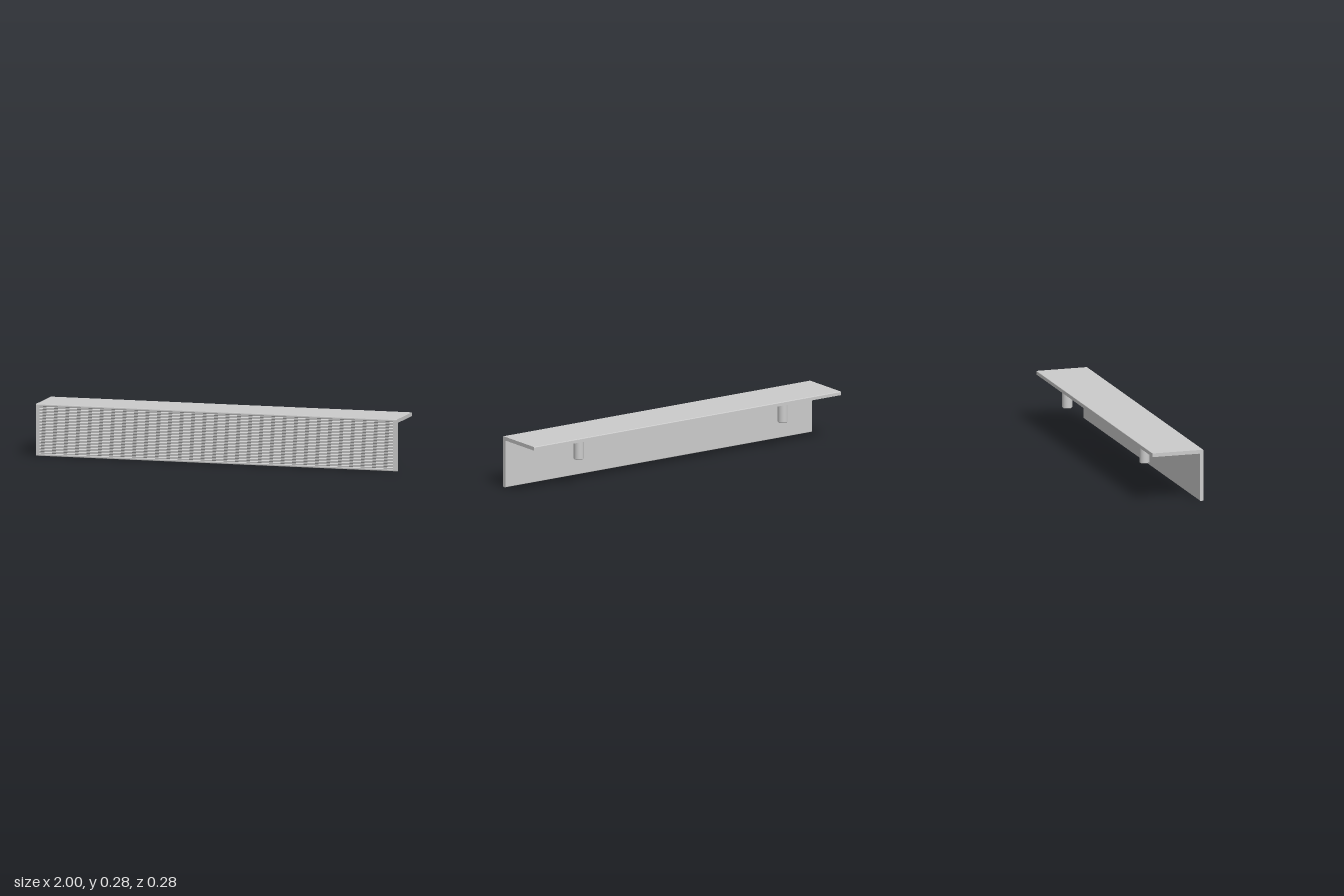
import * as THREE from 'three';

const FRONT = 0.142, BACK = -0.142, TOP = 0.278, T = 0.02, R = 0.004;
const END = 0.98;                      // grooves stop short of both ends
const GROOVES = 32, DEPTH = 0.003, GROOVE_LOW = 0.01, GROOVE_HIGH = 0.268;

// L-shaped cross-section, drawn with horizontal = -z and vertical = y
function profile(grooved) {
  const f = -FRONT, b = -BACK, s = new THREE.Shape();
  s.moveTo(f + R, 0);
  s.lineTo(f + T - R, 0);
  s.quadraticCurveTo(f + T, 0, f + T, R);
  s.lineTo(f + T, TOP - T - R);
  s.quadraticCurveTo(f + T, TOP - T, f + T + R, TOP - T);
  s.lineTo(b, TOP - T);
  s.lineTo(b, TOP - R);
  s.quadraticCurveTo(b, TOP, b - R, TOP);
  s.lineTo(f + R, TOP);
  s.quadraticCurveTo(f, TOP, f, TOP - R);
  if (grooved) {
    const pitch = (GROOVE_HIGH - GROOVE_LOW) / GROOVES;
    for (let i = 0; i < GROOVES; i++) {
      const y = GROOVE_HIGH - i * pitch;
      s.lineTo(f, y);
      s.lineTo(f + DEPTH, y - pitch / 2);
    }
    s.lineTo(f, GROOVE_LOW);
  }
  s.lineTo(f, R);
  s.quadraticCurveTo(f, 0, f + R, 0);
  return s;
}

// Run the cross-section along x between two stations
function section(x0, x1, grooved) {
  const g = new THREE.ExtrudeGeometry(profile(grooved), {
    depth: x1 - x0, bevelEnabled: false, curveSegments: 4,
  });
  if (grooved) {
    // the middle run keeps only its side walls, as the end pieces close it
    const { start, count } = g.groups[1];
    for (const name of ['position', 'normal', 'uv']) {
      const a = g.attributes[name], n = a.itemSize;
      g.setAttribute(name, new THREE.BufferAttribute(a.array.slice(start * n, (start + count) * n), n));
    }
  }
  g.clearGroups();
  return g.rotateY(Math.PI / 2).translate(x0, 0, 0);
}

export function createModel() {
  const model = new THREE.Group();
  model.name = 'angledPull';
  const material = new THREE.MeshStandardMaterial({ color: 0xcccccc });
  const add = (name, geometry) => {
    const mesh = new THREE.Mesh(geometry, material);
    mesh.name = name;
    model.add(mesh);
    return mesh;
  };

  // Angle bar: ribbed middle and two plain ends
  add('ribbedBar', section(-END, END, true));
  add('leftEnd', section(END, 1, false));
  add('rightEnd', section(-1, -END, false));

  // Fixing pegs under the top flange, with a chamfered lower rim
  const r = 0.027, low = 0.148, c = 0.004, high = TOP - T + 0.001;
  const wall = new THREE.CylinderGeometry(r, r, high - low - c, 40, 1, true);
  const tip = new THREE.CylinderGeometry(r, r - c, c, 40, 1, true);
  const base = new THREE.CircleGeometry(r - c, 40).rotateX(Math.PI / 2);
  for (const [side, sign] of [['left', 1], ['right', -1]]) {
    const place = (mesh, y) => mesh.position.set(sign * 0.665, y, -0.079);
    place(add(side + 'Peg', wall), (high + low + c) / 2);
    place(add(side + 'PegChamfer', tip), low + c / 2);
    place(add(side + 'PegBase', base), low);
  }
  return model;
}
